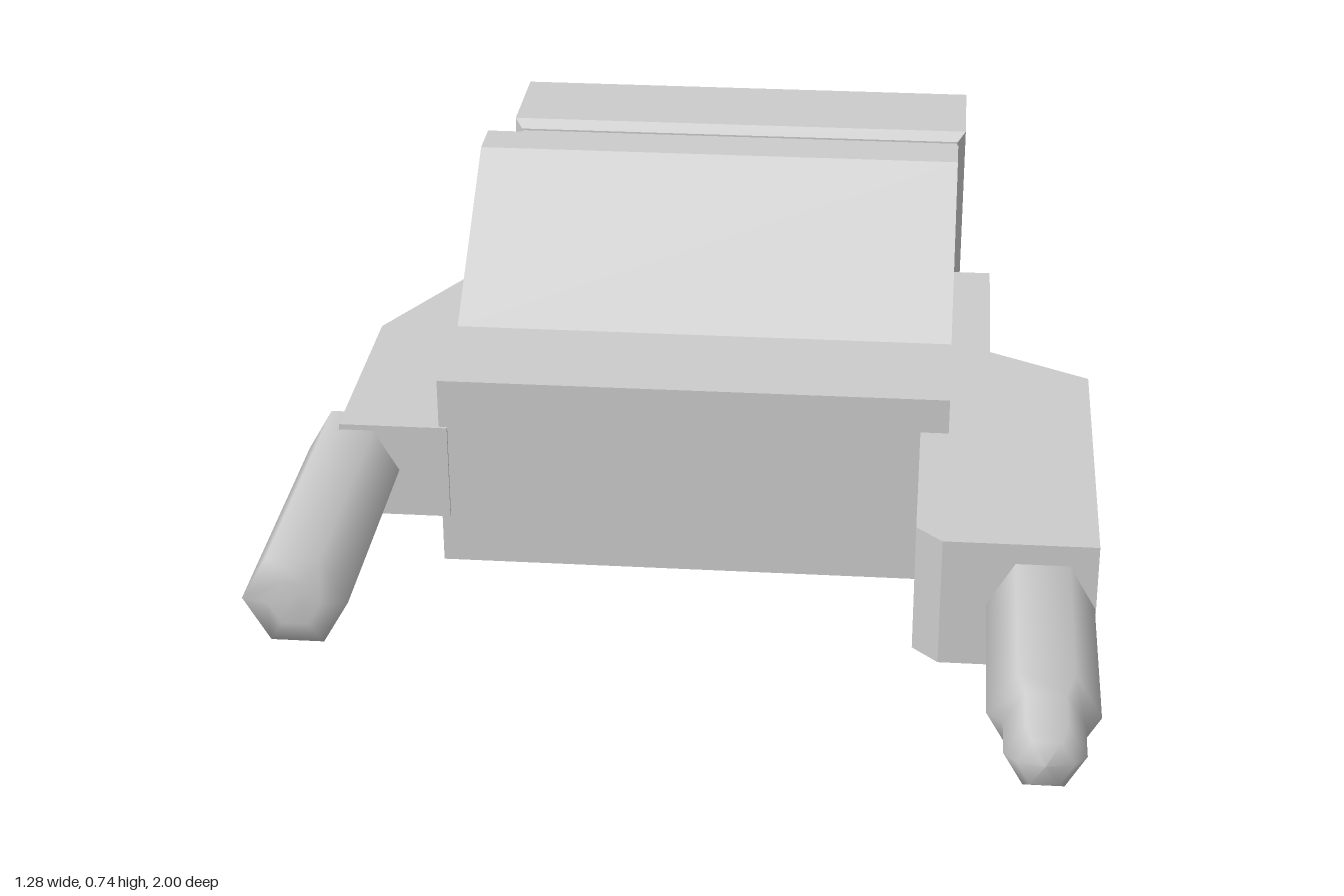
import * as THREE from 'three';

const MID_Y = 0.3675;

export function createModel() {
  const group = new THREE.Group();
  const flat = new THREE.MeshStandardMaterial({ color: 0xcccccc, flatShading: true });
  const smooth = new THREE.MeshStandardMaterial({ color: 0xcccccc });

  const add = (name, geometry, material) => {
    const mesh = new THREE.Mesh(geometry, material);
    mesh.name = name;
    group.add(mesh);
    return mesh;
  };
  const extrude = (points, depth) => new THREE.ExtrudeGeometry(
    new THREE.Shape(points.map(([a, b]) => new THREE.Vector2(a, b))),
    { depth, bevelEnabled: false });

  // Main body: half profile (z, half height) mirrored top to bottom, swept across x
  const half = [[0.21, 0.164], [0, 0.164], [-0.3, MID_Y], [-0.38, MID_Y], [-0.48, 0.215], [-0.82, 0.215]];
  const profile = [
    ...half.map(([z, h]) => [-z, MID_Y + h]),
    ...half.slice().reverse().map(([z, h]) => [-z, MID_Y - h]),
  ];
  add('body', extrude(profile, 0.824).rotateY(Math.PI / 2).translate(-0.414, 0, 0), flat);

  // Rear block with a small chamfer around its front rim
  const block = new THREE.BoxGeometry(0.856, 0.46, 0.22, 1, 1, 2);
  const p = block.attributes.position;
  for (let i = 0; i < p.count; i++) {
    const z = p.getZ(i);
    if (z > 0.1) p.setXY(i, p.getX(i) * 0.966, p.getY(i) * 0.94);
    else if (Math.abs(z) < 0.01) p.setZ(i, 0.09);
  }
  add('rearBlock', block.translate(-0.002, MID_Y + 0.002, -0.89), flat);

  // Side arms: plan outline (x, z) raised between two heights
  const arm = (name, outline, y0, y1) => add(name,
    extrude(outline.map(([x, z]) => [x, -z]), y1 - y0).rotateX(-Math.PI / 2).translate(0, y0, 0), flat);
  arm('leftArm', [[0.365, -0.43], [0.476, -0.43], [0.476, -0.1], [0.638, -0.01],
    [0.638, 0.565], [0.405, 0.565], [0.365, 0.525]], 0.263, 0.473);
  arm('rightArm', [[-0.4, -0.41], [-0.45, -0.41], [-0.577, -0.165],
    [-0.577, 0.215], [-0.4, 0.215]], 0.287, 0.449);

  // Hexagonal barrels along z, given as (radius, z), with a flat cap at the back
  const barrel = (name, x, points) => {
    const shell = new THREE.LatheGeometry(
      points.map(([r, z]) => new THREE.Vector2(r, z)), 6, Math.PI / 2).rotateX(Math.PI / 2);
    add(name, shell, smooth).position.set(x, MID_Y + 0.002, 0);
    const cap = new THREE.CircleGeometry(points[0][0], 6).rotateY(Math.PI);
    add(name + 'BackCap', cap, flat).position.set(x, MID_Y + 0.002, points[0][1]);
  };
  barrel('rightBarrel', -0.562, [[0.081, 0.15], [0.081, 0.645], [0.04, 0.655], [0, 0.656]]);
  barrel('leftBarrel', 0.555, [[0.081, 0.55], [0.081, 0.87], [0.058, 0.892],
    [0.058, 0.97], [0.04, 0.992], [0, 1]]);

  return group;
}
